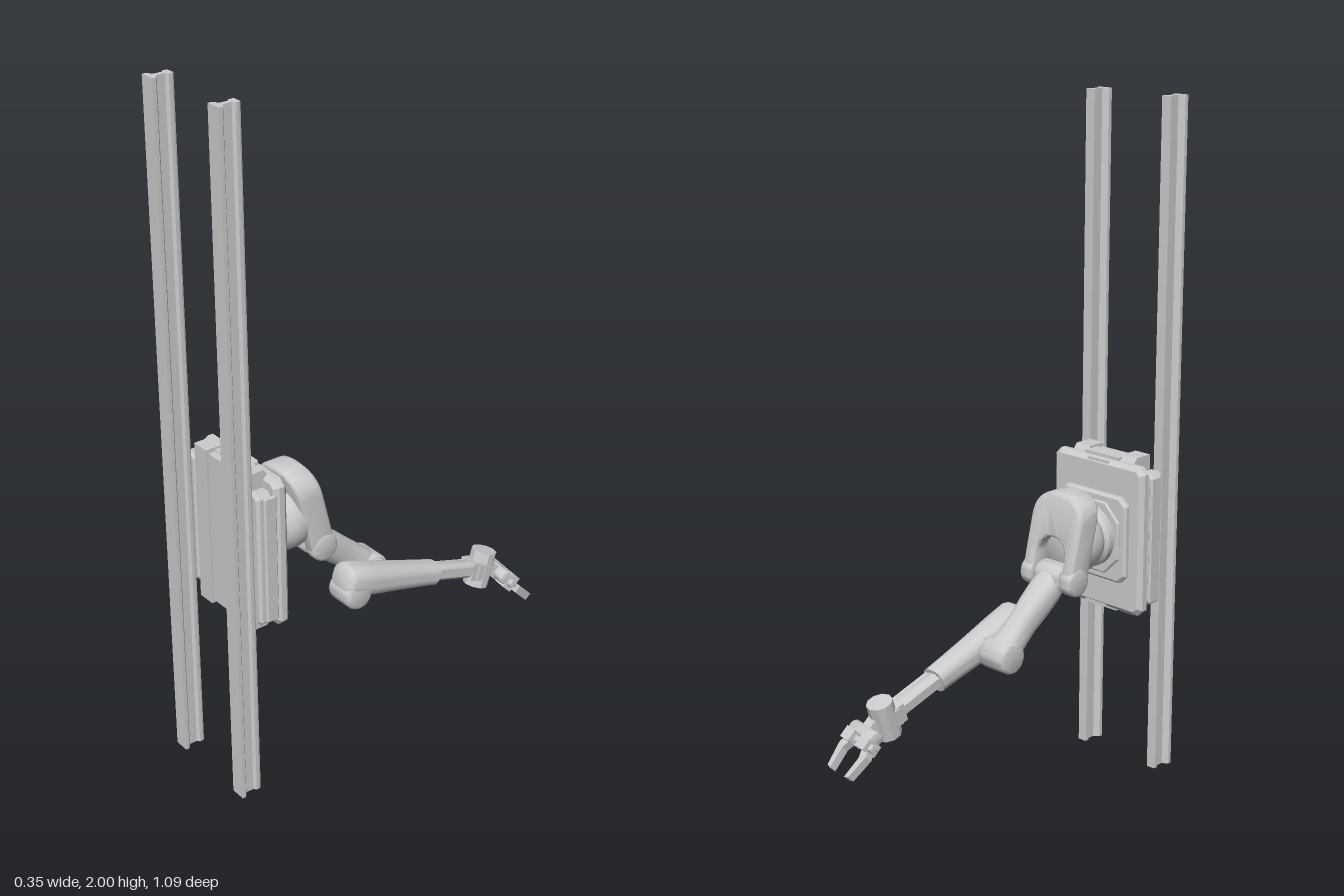
import * as THREE from 'three';
import { toCreasedNormals } from 'three/addons/utils/BufferGeometryUtils.js';

const grey = new THREE.MeshStandardMaterial({ color: 0xcccccc });
const CY = 0.74; // height of the carriage centre

function add(parent, name, geometry, x = 0, y = 0, z = 0) {
  const mesh = new THREE.Mesh(geometry, grey);
  mesh.name = name;
  mesh.position.set(x, y, z);
  parent.add(mesh);
  return mesh;
}
const box = (w, h, d) => new THREE.BoxGeometry(w, h, d);
const shapeOf = pts => new THREE.Shape(pts.map(p => new THREE.Vector2(...p)));

// Rounded drum along x, made by turning a profile
function drum(r, halfWidth, bevel = 0.008) {
  const h = halfWidth, b = bevel;
  const pts = [[0, -h], [r - b, -h], [r - b * 0.3, -h + b * 0.3], [r, -h + b], [r, h - b],
    [r - b * 0.3, h - b * 0.3], [r - b, h], [0, h]].map(p => new THREE.Vector2(...p));
  return toCreasedNormals(new THREE.LatheGeometry(pts, 28).rotateZ(-Math.PI / 2), 0.9);
}

// Rectangular plate facing z with chamfered rims
function plate(w, h, depth, bevel, corner = 0.02) {
  const x = w / 2 - bevel, y = h / 2 - bevel, c = corner;
  const s = shapeOf([[-x + c, -y], [x - c, -y], [x, -y + c], [x, y - c],
    [x - c, y], [-x + c, y], [-x, y - c], [-x, -y + c]]);
  const g = new THREE.ExtrudeGeometry(s, { depth: depth - 2 * bevel, bevelSize: bevel, bevelThickness: bevel, bevelSegments: 1 });
  return g.translate(0, 0, bevel - depth / 2);
}

// Skin over oval sections [y, z, halfWidth, halfHeight, pitch]
function loft(sections, sides = 28, power = 0.8) {
  const pos = [], idx = [];
  const soft = v => Math.sign(v) * Math.abs(v) ** power;
  for (const [y, z, a, b, pitch] of sections) {
    for (let j = 0; j < sides; j++) {
      const t = (j + 0.5) / sides * Math.PI * 2, v = b * soft(Math.sin(t));
      pos.push(a * soft(Math.cos(t)), y + v * Math.cos(pitch), z + v * Math.sin(pitch));
    }
  }
  const n = sections.length;
  for (const s of [sections[0], sections[n - 1]]) pos.push(0, s[0], s[1]);
  for (let j = 0; j < sides; j++) {
    const k = (j + 1) % sides, e = (n - 1) * sides;
    for (let i = 0; i < n - 1; i++) {
      const p = i * sides, q = p + sides;
      idx.push(p + j, q + j, p + k, q + j, q + k, p + k);
    }
    idx.push(n * sides, j, k, n * sides + 1, e + k, e + j);
  }
  const g = new THREE.BufferGeometry();
  g.setAttribute('position', new THREE.Float32BufferAttribute(pos, 3));
  g.setIndex(idx);
  return toCreasedNormals(g, 0.75);
}

function buildRails(root) {
  // Half profile of the rail: narrow head, thin web, wide foot
  const half = [[0.013, 0.477], [0.015, 0.482], [0.015, 0.492], [0.007, 0.498], [0.007, 0.522], [0.023, 0.534], [0.023, 0.545]];
  const pts = [...half, ...half.map(([x, z]) => [-x, z]).reverse()].map(([x, z]) => [x, -z]);
  const g = new THREE.ExtrudeGeometry(shapeOf(pts), { depth: 2, bevelEnabled: false }).rotateX(-Math.PI / 2);
  for (const x of [-0.145, 0.135]) add(root, 'rail', g, x);
}

function buildCarriage(root) {
  const c = new THREE.Group();
  c.name = 'carriage';
  c.position.set(-0.004, CY, 0);
  root.add(c);
  add(c, 'frontPlate', plate(0.345, 0.45, 0.042, 0.013, 0.012), 0, 0, 0.396);
  add(c, 'mountPlate', plate(0.256, 0.26, 0.024, 0.007), 0, 0, 0.368);
  add(c, 'mountRing', plate(0.215, 0.215, 0.02, 0.004, 0.05), 0, 0, 0.359);
  add(c, 'rearPanel', box(0.12, 0.46, 0.05), 0, 0, 0.441);

  // End hooks with sloping front corners, joined by side beams
  const hook = shapeOf([[0.472, -0.24], [0.415, -0.24], [0.395, -0.215], [0.382, -0.18],
    [0.382, 0.18], [0.395, 0.215], [0.415, 0.24], [0.472, 0.24]].map(([z, y]) => [-z, y]));
  const hookGeo = new THREE.ExtrudeGeometry(hook, { depth: 0.055, bevelEnabled: false }).rotateY(Math.PI / 2);
  for (const s of [-1, 1]) {
    add(c, 'sideBeam', hookGeo, s * 0.09 - 0.0275);
    add(c, 'railGuide', plate(0.048, 0.4, 0.05, 0.008, 0.006), s * 0.144, 0, 0.447);
    add(c, 'sideCover', plate(0.012, 0.38, 0.04, 0.004, 0.001), s * 0.17, 0, 0.435);
    add(c, 'endStrip', box(0.13, 0.012, 0.05), 0, s * 0.228, 0.42);
    add(c, 'endPanel', box(0.08, 0.01, 0.025), 0, s * 0.218, 0.39);
  }
}

function buildTurret(root) {
  const t = new THREE.Group();
  t.name = 'turret';
  t.position.x = -0.004;
  root.add(t);
  // Turned base along z
  const prof = [[0, 0.36], [0.1, 0.36], [0.1, 0.352], [0.093, 0.35], [0.093, 0.33], [0.084, 0.318],
    [0.09, 0.306], [0.096, 0.294], [0.096, 0.262], [0.09, 0.235], [0.07, 0.222], [0, 0.22]];
  const pts = prof.map(([r, z]) => new THREE.Vector2(r, -z));
  add(t, 'turretBase', toCreasedNormals(new THREE.LatheGeometry(pts, 40).rotateX(-Math.PI / 2), 0.6), 0, CY, 0);

  // Hood: arch with two legs, sheared so the legs lean forward
  const hood = new THREE.Shape();
  hood.moveTo(0.082, 0);
  hood.lineTo(0.082, 0.16);
  hood.bezierCurveTo(0.082, 0.205, 0.06, 0.226, 0, 0.228);
  hood.bezierCurveTo(-0.06, 0.226, -0.082, 0.205, -0.082, 0.16);
  hood.lineTo(-0.082, 0);
  hood.lineTo(-0.068, 0);
  hood.lineTo(-0.068, 0.06);
  hood.absarc(0, 0.06, 0.068, Math.PI, 0, true);
  hood.lineTo(0.068, 0);
  const g = new THREE.ExtrudeGeometry(hood, { depth: 0.054, bevelSize: 0.014, bevelThickness: 0.014, bevelSegments: 4, curveSegments: 20 });
  const p = g.attributes.position;
  for (let i = 0; i < p.count; i++) p.setZ(i, p.getZ(i) - 0.027 + 0.2 + 0.24 * p.getY(i));
  add(t, 'hood', toCreasedNormals(g, 0.7), 0, 0.652, 0);
  for (const s of [-1, 1]) add(t, 'shoulderHub', drum(0.042, 0.021), s * 0.077, 0.65, 0.197);
}

function buildUpperArm(root) {
  const a = new THREE.Group();
  a.name = 'upperArm';
  a.position.x = -0.006;
  root.add(a);
  const pitch = -0.685;
  const at = (s, w, h) => [0.65 - 0.18 * s, 0.197 - 0.217 * s, w, h, pitch];
  add(a, 'upperArmBody', loft([at(0, 0.044, 0.038), at(0.2, 0.046, 0.043), at(0.4, 0.043, 0.044),
    at(0.6, 0.037, 0.042), at(0.8, 0.042, 0.041), at(1, 0.048, 0.042)]));
  add(a, 'shoulderPivot', drum(0.042, 0.048), 0, 0.65, 0.197);
  add(a, 'elbowDrum', drum(0.046, 0.049), 0, 0.468, -0.02);
  add(a, 'elbowHub', drum(0.038, 0.03, 0.003), 0.06, 0.468, -0.02);
}

function buildForearm(root) {
  const f = new THREE.Group();
  f.name = 'forearm';
  f.position.set(0.087, 0.508, 0.1);
  f.rotation.x = -0.305;
  root.add(f);
  add(f, 'forearmSleeve', loft([[0.002, 0.042, 0.036, 0.034, 0], [0.002, 0.036, 0.046, 0.043, 0], [0.002, 0.024, 0.05, 0.047, 0],
    [0, -0.05, 0.049, 0.046, 0], [0, -0.15, 0.043, 0.041, 0], [0, -0.25, 0.039, 0.037, 0], [0, -0.308, 0.038, 0.035, 0]]));
  add(f, 'elbowMotor', drum(0.045, 0.048, 0.012), 0, -0.032, -0.002);
  add(f, 'extension', loft([[0, -0.3, 0.031, 0.026, 0], [0, -0.47, 0.031, 0.026, 0]], 8, 1));
  for (const s of [-1, 1]) add(f, 'extensionRib', box(0.012, 0.012, 0.17), s * 0.024, 0.012, -0.385);
  add(f, 'extensionCollar', box(0.06, 0.055, 0.035), 0, 0, -0.468);

  // Faceted wrist drum standing across the forearm
  const w = new THREE.CylinderGeometry(0.038, 0.038, 0.11, 10).toNonIndexed();
  w.computeVertexNormals();
  add(f, 'wristDrum', w, 0, 0.004, -0.505);
  add(f, 'wristBracket', box(0.07, 0.05, 0.05), 0, 0, -0.495);
}

function buildGripper(root) {
  const g = new THREE.Group();
  g.name = 'gripper';
  g.position.set(0.093, 0.355, -0.41);
  g.rotation.set(-0.8, -0.15, 0, 'YXZ');
  root.add(g);
  add(g, 'gripperNeck', box(0.035, 0.035, 0.07), 0, 0, -0.03);
  add(g, 'palm', box(0.08, 0.03, 0.028), 0, 0, -0.058);
  add(g, 'palmDrum', drum(0.021, 0.055, 0.003), 0, 0.006, -0.04);

  // Bent fingers, mirrored
  const pts = [[0.022, 0.062], [0.05, 0.062], [0.066, 0.095], [0.052, 0.166], [0.036, 0.17], [0.042, 0.105]];
  for (const s of [-1, 1]) {
    const outline = pts.map(([x, y]) => [s * x, y]);
    const finger = new THREE.ExtrudeGeometry(shapeOf(outline), { depth: 0.024, bevelEnabled: false });
    add(g, 'finger', finger.translate(0, 0, -0.012).rotateX(-Math.PI / 2));
    add(g, 'knuckle', box(0.04, 0.05, 0.036), s * 0.037, 0.004, -0.066);
    add(g, 'knucklePin', drum(0.013, 0.01, 0.002), s * 0.058, 0.004, -0.066);
  }
}

export function createModel() {
  const root = new THREE.Group();
  root.name = 'railMountedRobotArm';
  for (const build of [buildRails, buildCarriage, buildTurret, buildUpperArm, buildForearm, buildGripper]) build(root);
  return root;
}
